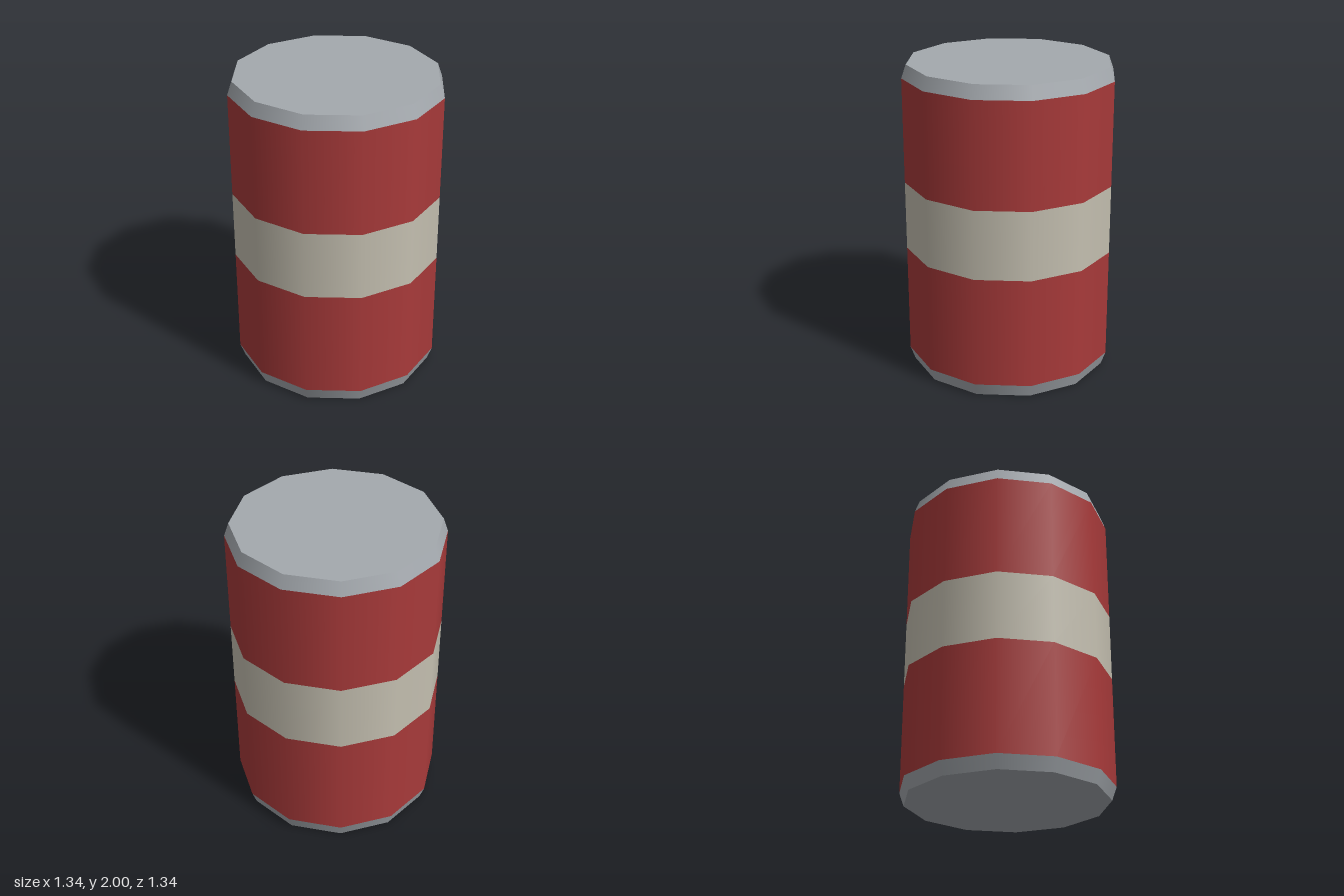
import * as THREE from 'three';

const SIDES = 12;
const BODY_RADIUS = 0.67;
const RIM_RADIUS = 0.64;

function material(name, color) {
  const m = new THREE.MeshStandardMaterial({ color });
  m.name = name;
  return m;
}

export function createModel() {
  const group = new THREE.Group();
  group.name = 'barrel';

  const red = material('red paint', 0xa83a3a);
  const cream = material('cream paint', 0xc4bfb0);
  const grey = material('grey metal', 0xa4a9ae);

  // Open twelve-sided ring between two heights, smooth around its side
  function ring(name, y0, y1, r0, r1, mat) {
    const geometry = new THREE.CylinderGeometry(r1, r0, y1 - y0, SIDES, 1, true);
    const mesh = new THREE.Mesh(geometry, mat);
    mesh.name = name;
    mesh.position.y = (y0 + y1) / 2;
    group.add(mesh);
  }

  // Flat lid facing up (1) or down (-1)
  function lid(name, y, facing) {
    const geometry = new THREE.CircleGeometry(RIM_RADIUS, SIDES);
    geometry.rotateX(-facing * Math.PI / 2);
    const mesh = new THREE.Mesh(geometry, grey);
    mesh.name = name;
    mesh.position.y = y;
    group.add(mesh);
  }

  // Painted body bands
  ring('lowerBand', 0.085, 0.8, BODY_RADIUS, BODY_RADIUS, red);
  ring('middleBand', 0.8, 1.245, BODY_RADIUS, BODY_RADIUS, cream);
  ring('upperBand', 1.245, 1.915, BODY_RADIUS, BODY_RADIUS, red);

  // Bevelled metal rims and lids
  ring('bottomRim', 0, 0.085, RIM_RADIUS, BODY_RADIUS, grey);
  ring('topRim', 1.915, 2, BODY_RADIUS, RIM_RADIUS, grey);
  lid('bottomLid', 0, -1);
  lid('topLid', 2, 1);

  return group;
}
